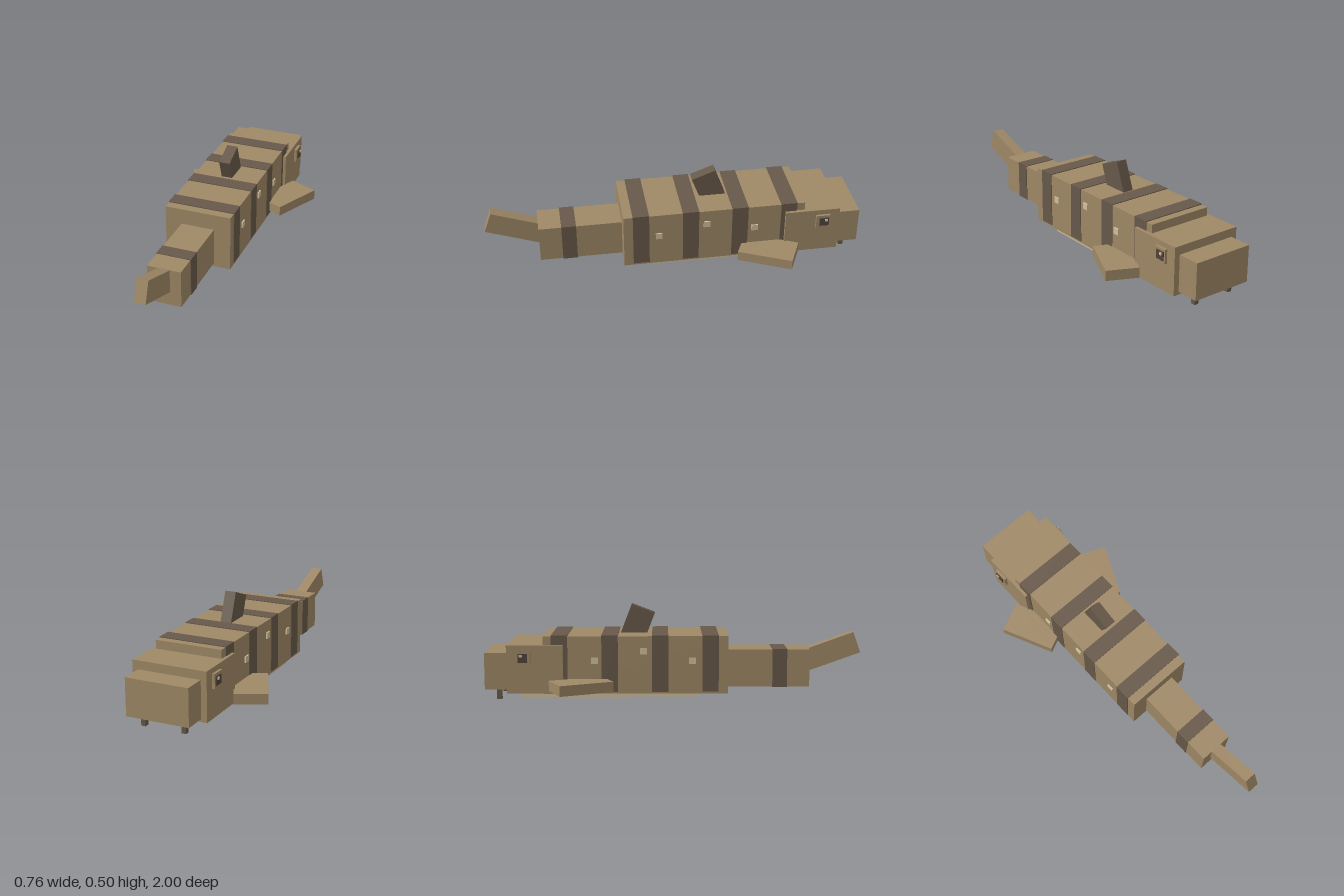
import * as THREE from 'three';

export function createModel() {
  const model = new THREE.Group();
  model.name = 'blockFish';

  const mat = (name, color) => {
    const m = new THREE.MeshStandardMaterial({ color });
    m.name = name;
    return m;
  };
  const tan = mat('tan', 0x9f8866);
  const brown = mat('darkBrown', 0x675849);
  const cream = mat('cream', 0xd0c09b);
  const pupilDark = mat('pupilDark', 0x4f443a);

  // Box given by its min and max on each axis
  const block = (name, material, [x0, x1], [y0, y1], [z0, z1]) => {
    const mesh = new THREE.Mesh(new THREE.BoxGeometry(x1 - x0, y1 - y0, z1 - z0), material);
    mesh.position.set((x0 + x1) / 2, (y0 + y1) / 2, (z0 + z1) / 2);
    mesh.name = name;
    model.add(mesh);
    return mesh;
  };
  const centred = (name, material, half, y, z) => block(name, material, [-half, half], y, z);
  // The same block on both sides
  const pair = (name, material, [x0, x1], y, z) => {
    block(name + 'Left', material, [x0, x1], y, z);
    block(name + 'Right', material, [-x1, -x0], y, z);
  };

  // Trunk, head and tail
  centred('body', tan, 0.18, [0.04, 0.345], [-0.69, 0.28]);
  centred('head', tan, 0.199, [0.045, 0.3], [-0.88, -0.585]);
  centred('snout', tan, 0.168, [0.06, 0.255], [-1, -0.87]);
  centred('belly', cream, 0.164, [0.02, 0.05], [-0.805, 0.125]);
  centred('tail', tan, 0.09, [0.06, 0.26], [0.27, 0.72]);

  // Dark stripes wrapped around the body and tail
  for (const z of [0.188, -0.077, -0.341, -0.605])
    centred('bodyBand', brown, 0.183, [0.05, 0.349], [z - 0.043, z + 0.043]);
  centred('tailBand', brown, 0.093, [0.057, 0.263], [0.522, 0.6]);

  // Tail fin, tilted upward
  const tailFin = centred('tailFin', tan, 0.031, [-0.0585, 0.0585], [-0.3, 0]);
  tailFin.geometry.translate(0, 0, -0.15);
  tailFin.position.set(0, 0.29, 0.98);
  tailFin.rotation.x = -0.345;

  // Dorsal fin, leaning toward the tail
  const dorsalFin = centred('dorsalFin', brown, 0.03, [-0.1, 0.1], [-0.066, 0.066]);
  dorsalFin.geometry.translate(0, -0.1, 0);
  dorsalFin.position.set(0, 0.473, -0.167);
  dorsalFin.rotation.x = 0.365;

  // Flippers, swept toward the head
  for (const side of [1, -1]) {
    const flipper = centred(side > 0 ? 'flipperLeft' : 'flipperRight', tan, 0.085, [0.063, 0.118], [-0.147, 0.147]);
    flipper.position.x = side * 0.24;
    flipper.position.z = -0.488;
    flipper.rotation.y = side * -0.436;
  }

  // Eyes: socket, pupil and glint
  pair('eyeSocket', tan, [0.19, 0.213], [0.197, 0.272], [-0.826, -0.75]);
  pair('pupil', pupilDark, [0.2, 0.219], [0.212, 0.258], [-0.818, -0.768]);
  pair('glint', cream, [0.21, 0.224], [0.24, 0.253], [-0.81, -0.795]);

  // Pale spots along the flanks
  for (const [z, y] of [[0.093, 0.216], [-0.163, 0.266], [-0.42, 0.216]])
    pair('spot', cream, [0.17, 0.187], [y - 0.017, y + 0.017], [z - 0.018, z + 0.018]);

  // Barbels under the snout
  pair('barbel', brown, [0.097, 0.121], [0, 0.065], [-0.944, -0.918]);

  return model;
}
